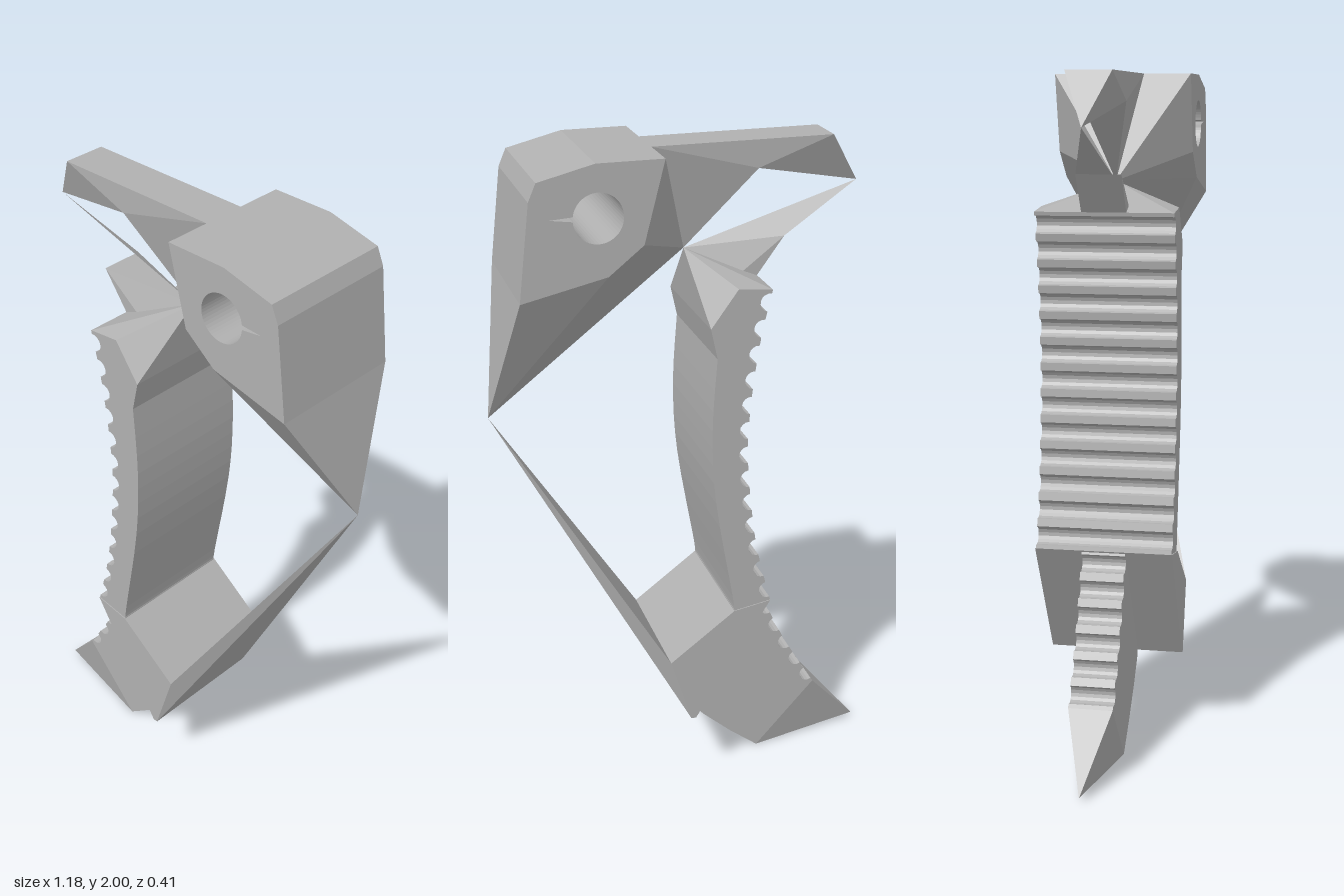
import * as THREE from 'three';
import { ConvexGeometry } from 'three/addons/geometries/ConvexGeometry.js';

const W = 0.205; // half width of the thick parts
const T = 0.065; // half width of the blades

export function createModel() {
  const group = new THREE.Group();
  const steel = new THREE.MeshStandardMaterial({ color: 0xb0b0b0 });
  steel.name = 'grey steel';
  const sheet = new THREE.MeshStandardMaterial({ color: 0xb0b0b0, side: THREE.DoubleSide });
  sheet.name = 'grey steel sheet';

  const add = (name, geometry, material = steel) => {
    const mesh = new THREE.Mesh(geometry, material);
    mesh.name = name;
    group.add(mesh);
  };

  // Flat-faced solid around [x, y] pairs mirrored at +-w, plus single [x, y, z] points
  const solid = (name, w, pairs, points = []) => {
    const pts = points.map((p) => new THREE.Vector3(...p));
    for (const [x, y] of pairs) pts.push(new THREE.Vector3(x, y, w), new THREE.Vector3(x, y, -w));
    add(name, new ConvexGeometry(pts));
  };

  const toV2 = (list) => list.map(([x, y]) => new THREE.Vector2(x, y));
  const slab = (name, shape, w) => {
    const geo = new THREE.ExtrudeGeometry(shape, { depth: 2 * w, bevelEnabled: false, curveSegments: 24 });
    add(name, geo.translate(0, 0, -w));
  };

  // Edge running down a curve, with round bites cut into its inner (+x) side
  const scalloped = (list, count, r) => {
    const curve = new THREE.SplineCurve(toV2(list));
    const out = [curve.getPointAt(0)];
    for (let i = 0; i < count; i++) {
      const u = (i + 0.5) / count;
      const c = curve.getPointAt(u);
      const t = curve.getTangentAt(u);
      const n = new THREE.Vector2(-t.y, t.x);
      for (let k = 0; k <= 8; k++) {
        const a = (k / 8) * Math.PI;
        out.push(c.clone().addScaledVector(t, -r * Math.cos(a)).addScaledVector(n, r * Math.sin(a)));
      }
    }
    out.push(curve.getPointAt(1));
    return out;
  };

  const neck = [0, 1.69, 0];
  const elbow = [0.59, 1.25, -0.035];
  const beakTip = [-0.52, 1.85, 0];

  // Curved grip with ribbed back
  const gripFront = new THREE.SplineCurve(toV2([
    [-0.1, 0.6], [-0.095, 0.65], [-0.04, 0.97], [-0.027, 1.2], [-0.04, 1.42]])).getPoints(16);
  const ribs = scalloped([[-0.2, 1.61], [-0.165, 1.45], [-0.14, 1.25], [-0.137, 1.08], [-0.165, 0.83], [-0.215, 0.62]], 13, 0.027);
  slab('grip', new THREE.Shape([...ribs, ...gripFront, ...toV2([[-0.02, 1.51], [-0.1, 1.62]])]), W - 0.003);

  // Grip top drawn together at the neck
  solid('gripTop', W - 0.003, [[-0.2, 1.61], [-0.16, 1.595], [-0.1, 1.62], [-0.02, 1.51]], [neck]);
  solid('gripSpur', T, [[-0.28, 1.72], [-0.2, 1.61], [-0.13, 1.605]], [neck]);

  // Thin web from the beak tip to the neck
  const web = new THREE.BufferGeometry().setFromPoints(
    [neck, beakTip, [-0.28, 1.72, -T]].map((p) => new THREE.Vector3(...p)));
  web.computeVertexNormals();
  add('web', web, sheet);

  // Upper beak
  solid('beakTip', T, [[-0.42, 2], [-0.2, 2], [-0.2, 1.92]], [beakTip]);
  solid('beakRoot', T, [[-0.2, 2], [0.11, 2], [-0.2, 1.92]], [neck]);

  // Head plate with a round, notched hole
  const head = new THREE.Shape(toV2([
    [0.17, 1.92], [0.17, 1.77], [0.27, 1.69], [0.515, 1.635], [0.482, 1.91], [0.46, 1.96], [0.3, 2], [0.25, 2]]));
  const hole = new THREE.Path();
  hole.absarc(0.295, 1.853, 0.07, 0.13, Math.PI * 2 - 0.06, false);
  hole.lineTo(0.43, 1.858);
  hole.closePath();
  head.holes.push(hole);
  slab('head', head, W);

  // Head tapering to the neck and down to the elbow point
  solid('headNeck', W, [[0.11, 2], [0.25, 2], [0.17, 1.92], [0.17, 1.77]], [neck]);
  solid('headWedge', W, [[0.17, 1.77], [0.27, 1.69], [0.515, 1.635]], [neck, elbow]);

  // Lower guard and the strut rising to the elbow point
  solid('guard', W, [[-0.215, 0.62], [-0.1, 0.6], [0.1, 0.45], [0.02, 0.24]]);
  solid('strut', W, [[0.1, 0.45], [0.02, 0.24], [0.035, 0.24]], [elbow]);

  // Toothed lower blade
  const teeth = scalloped([[-0.21, 0.62], [-0.31, 0.4], [-0.42, 0.21]], 6, 0.026);
  slab('lowerBlade', new THREE.Shape([...teeth, ...toV2([
    [-0.23, 0], [-0.14, 0.07], [-0.05, 0.15], [0.02, 0.225], [0.02, 0.26]])]), T);
  solid('lowerBladeTip', T, [[-0.42, 0.21], [-0.23, 0]], [[-0.59, 0.015, 0]]);

  return group;
}
